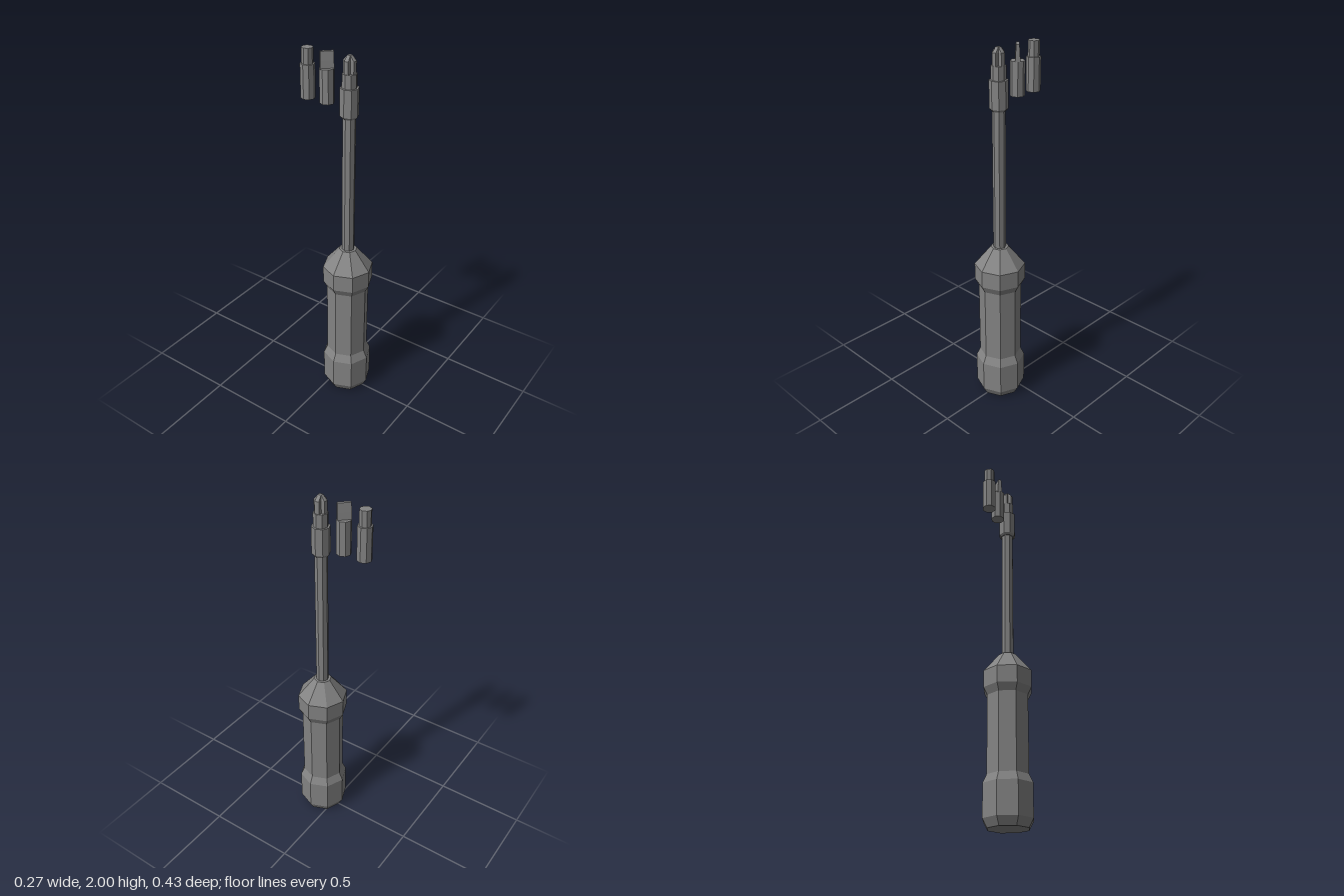
import * as THREE from 'three';

const grey = new THREE.MeshStandardMaterial({ color: 0x838383, flatShading: true });

function part(name, geometry) {
  const mesh = new THREE.Mesh(geometry, grey);
  mesh.name = name;
  return mesh;
}

// Eight-sided turned part; profile is [radius, y] from bottom to top, closed at both ends
function turned(name, profile) {
  const closed = [[0, profile[0][1]], ...profile, [0, profile[profile.length - 1][1]]];
  return part(name, new THREE.LatheGeometry(closed.map(([r, y]) => new THREE.Vector2(r, y)), 8));
}

// Capped loft; rings are { y, points: [[x, z], ...] }, counter-clockwise from above
function loft(name, rings) {
  const n = rings[0].points.length;
  const vertices = [], index = [];
  for (const { y, points } of rings) for (const [x, z] of points) vertices.push(x, y, z);
  const bottom = rings.length * n, top = bottom + 1;
  vertices.push(0, rings[0].y, 0, 0, rings[rings.length - 1].y, 0);
  for (let i = 0; i < n; i++) {
    const j = (i + 1) % n;
    for (let k = 0; k < rings.length - 1; k++) {
      const a = k * n + i, b = k * n + j;
      index.push(a, b, b + n, a, b + n, a + n);
    }
    index.push(bottom, j, i, top, bottom - n + i, bottom - n + j);
  }
  const geometry = new THREE.BufferGeometry();
  geometry.setAttribute('position', new THREE.Float32BufferAttribute(vertices, 3));
  geometry.setIndex(index);
  geometry.computeVertexNormals();
  return part(name, geometry);
}

// Four-winged outline: reach of the ridged wings, half width, and depth of the groove corners
function cross(y, reach, w, groove) {
  const points = [];
  for (let q = 0; q < 4; q++) {
    const c = Math.round(Math.cos(q * Math.PI / 2)), s = Math.round(Math.sin(q * Math.PI / 2));
    for (const [u, v] of [[reach * 0.93, -w], [reach, 0], [reach * 0.93, w], [groove, groove]]) {
      points.push([u * c - v * s, -(u * s + v * c)]);
    }
  }
  return { y, points };
}

function rectangle(y, a, b) {
  return { y, points: [[a, b], [a, -b], [-a, -b], [-a, b]] };
}

// Interchangeable bit: common eight-sided base plus its own tip
function bit(name, z, tip) {
  const group = new THREE.Group();
  group.name = name;
  group.add(turned(name + 'Base', [[0.038, 1.735], [0.038, 1.912]]), tip);
  group.position.z = z;
  return group;
}

export function createModel() {
  const model = new THREE.Group();
  model.name = 'screwdriverWithBits';

  // Driver: handle, shaft and bit holder on one axis
  const driver = new THREE.Group();
  driver.name = 'driver';
  driver.position.z = 0.075;
  driver.add(
    turned('handle', [
      [0.112, 0], [0.137, 0.045], [0.137, 0.22], [0.116, 0.265],
      [0.116, 0.69], [0.137, 0.73], [0.137, 0.825], [0.048, 0.932],
    ]),
    turned('shaft', [[0.034, 0.92], [0.034, 1.7]]),
    turned('bitHolder', [[0.039, 1.688], [0.048, 1.7], [0.048, 1.842]]),
  );

  // Cross bit mounted in the holder
  driver.add(bit('crossBit', 0, loft('crossTip', [
    cross(1.905, 0.033, 0.012, 0.013),
    cross(1.975, 0.033, 0.012, 0.013),
    cross(2, 0.01, 0.008, 0.009),
  ])));

  // Loose flat bit, blade turned 45 degrees
  const blade = loft('flatTip', [
    rectangle(1.905, 0.034, 0.013),
    rectangle(1.95, 0.034, 0.011),
    rectangle(1.995, 0.033, 0.008),
  ]);
  blade.rotation.y = -Math.PI / 4;

  model.add(
    driver,
    bit('flatBit', -0.058, blade),
    bit('plainBit', -0.175, turned('plainTip', [[0.03, 1.905], [0.03, 1.993]])),
  );
  return model;
}
